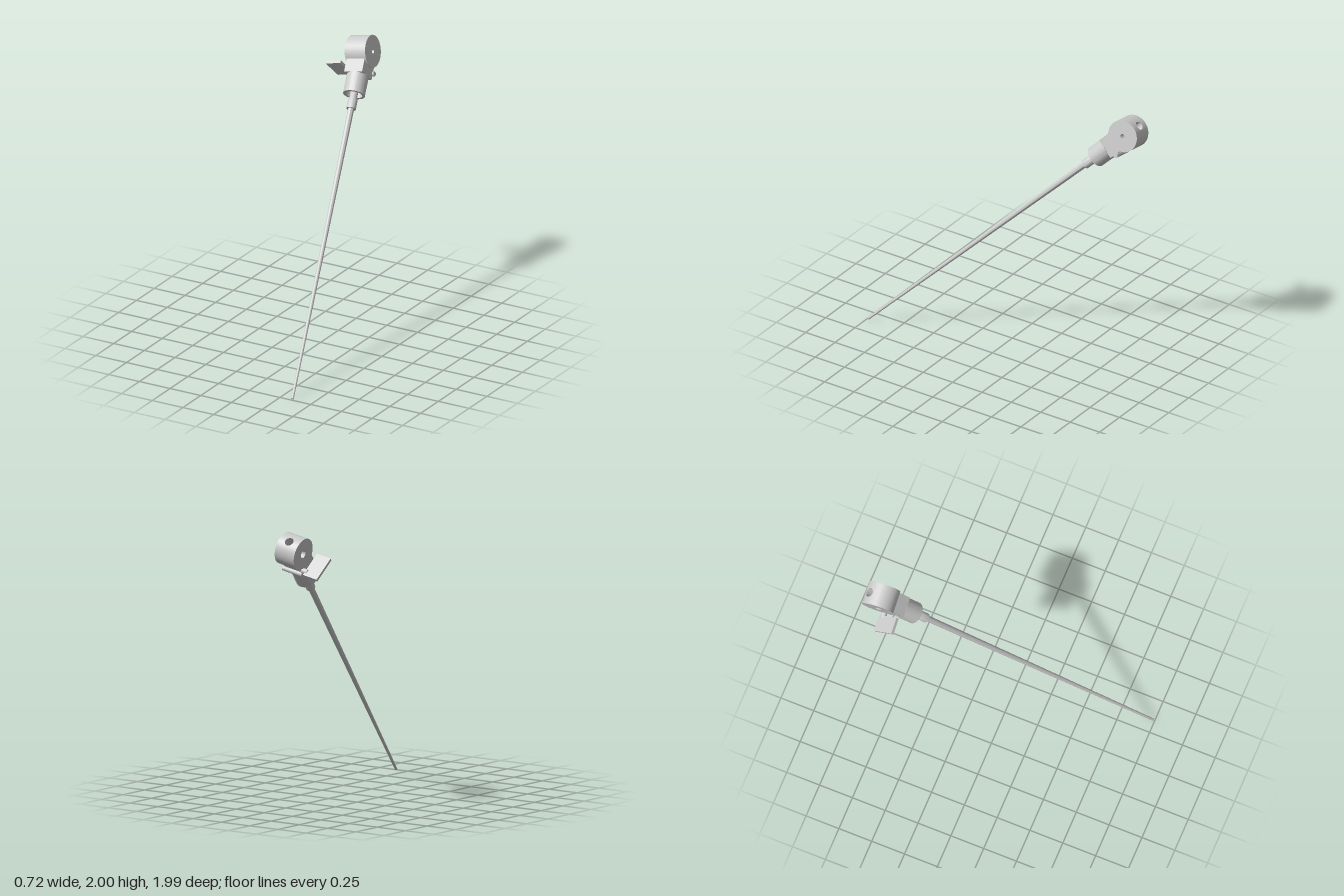
import * as THREE from 'three';
import { toCreasedNormals } from 'three/addons/utils/BufferGeometryUtils.js';

const R = 0.116;      // head radius
const W = 0.082;      // head half thickness
const H = 0.032;      // radial hole radius
const PHI = 0.8;      // half angle of the patch around the radial hole

const material = new THREE.MeshStandardMaterial({ color: 0xcccccc, side: THREE.DoubleSide });

function add(parent, name, geometry, x = 0, y = 0, z = 0) {
  const mesh = new THREE.Mesh(geometry, material);
  mesh.name = name;
  mesh.position.set(x, y, z);
  parent.add(mesh);
  return mesh;
}

// Turned part around the local y axis
function turned(profile, segments = 48) {
  const points = profile.map(([r, y]) => new THREE.Vector2(r, y));
  return toCreasedNormals(new THREE.LatheGeometry(points, segments), 0.6);
}

// Grid surface from a rule f(u, v) -> [x, y, z]
function sheet(f, nu, nv) {
  const position = [], index = [];
  for (let i = 0; i <= nu; i++)
    for (let j = 0; j <= nv; j++) position.push(...f(i / nu, j / nv));
  for (let i = 0; i < nu; i++)
    for (let j = 0; j < nv; j++) {
      const a = i * (nv + 1) + j, b = a + nv + 1;
      index.push(a, b, a + 1, b, b + 1, a + 1);
    }
  const g = new THREE.BufferGeometry();
  g.setAttribute('position', new THREE.Float32BufferAttribute(position, 3));
  g.setIndex(index);
  g.computeVertexNormals();
  return g;
}

const rim = (x, phi) => [x, R * Math.cos(phi), R * Math.sin(phi)];

function createHead() {
  const head = new THREE.Group();
  head.name = 'head';

  // Flat sides and the stepped bore through the axis
  const sides = turned([[R, W], [0.017, W], [0.017, -0.02], [0.028, -0.02], [0.028, -W], [R, -W]], 64);
  add(head, 'headSides', sides).rotation.z = -Math.PI / 2;

  // Curved rim, with a patch that leaves the radial hole open
  add(head, 'headRim', sheet((u, v) =>
    rim(W - 2 * W * v, PHI + u * 2 * (Math.PI - PHI)), 56, 1));
  add(head, 'headRimAroundHole', sheet((u, v) => {
    const c = Math.cos(v * 2 * Math.PI), s = Math.sin(v * 2 * Math.PI);
    const m = Math.max(Math.abs(c), Math.abs(s));
    return rim(THREE.MathUtils.lerp(H * c, W * c / m, u),
      THREE.MathUtils.lerp(Math.asin(H * s / R), PHI * s / m, u));
  }, 8, 64));

  // Wall of the radial hole
  add(head, 'radialHole', sheet((u, v) => {
    const c = Math.cos(v * 2 * Math.PI), s = Math.sin(v * 2 * Math.PI);
    const top = Math.sqrt(R * R - H * H * s * s);
    return [H * c, THREE.MathUtils.lerp(top, 0.02, u), H * s];
  }, 2, 64));
  return head;
}

export function createModel() {
  const model = new THREE.Group();
  model.name = 'rodWithClampHead';

  // Local frame: y runs up the rod, x is the axis of the head
  const tool = new THREE.Group();
  tool.name = 'tool';
  const yAxis = new THREE.Vector3(-0.19, 0.694, -0.694).normalize();
  const zAxis = new THREE.Vector3(0.977, 0.203, -0.065).cross(yAxis).normalize();
  const xAxis = new THREE.Vector3().crossVectors(yAxis, zAxis);
  tool.quaternion.setFromRotationMatrix(new THREE.Matrix4().makeBasis(xAxis, yAxis, zAxis));
  tool.position.set(-0.165, 1.869, -0.875);
  model.add(tool);

  tool.add(createHead());

  // Square neck and hollow sleeve under the head
  add(tool, 'neckBlock', new THREE.BoxGeometry(0.145, 0.14, 0.15), 0, -0.12, 0);
  add(tool, 'sleeve', turned([[0, -0.23], [0.06, -0.23], [0.06, -0.335],
    [0.078, -0.335], [0.078, -0.185], [0, -0.185]]));

  // Stem and ferrule that hold the rod
  add(tool, 'ferrule', turned([[0, -0.445], [0.034, -0.445], [0.034, -0.375],
    [0.027, -0.36], [0.027, -0.22], [0, -0.22]], 32));

  // Long tapered rod
  add(tool, 'rod', turned([[0, -2.685], [0.009, -2.685], [0.022, -0.43], [0, -0.43]], 24));

  // Flat thumb lever with its short shaft
  add(tool, 'thumbLever', new THREE.BoxGeometry(0.118, 0.022, 0.195), -0.162, -0.122, 0);
  add(tool, 'leverShaft', new THREE.CylinderGeometry(0.02, 0.02, 0.06, 24), -0.09, -0.122, -0.06)
    .rotation.z = Math.PI / 2;

  // Cross pin on the underside of the neck
  add(tool, 'crossPin', new THREE.CylinderGeometry(0.018, 0.018, 0.165, 24), 0, -0.138, -0.083)
    .rotation.z = Math.PI / 2;

  return model;
}
